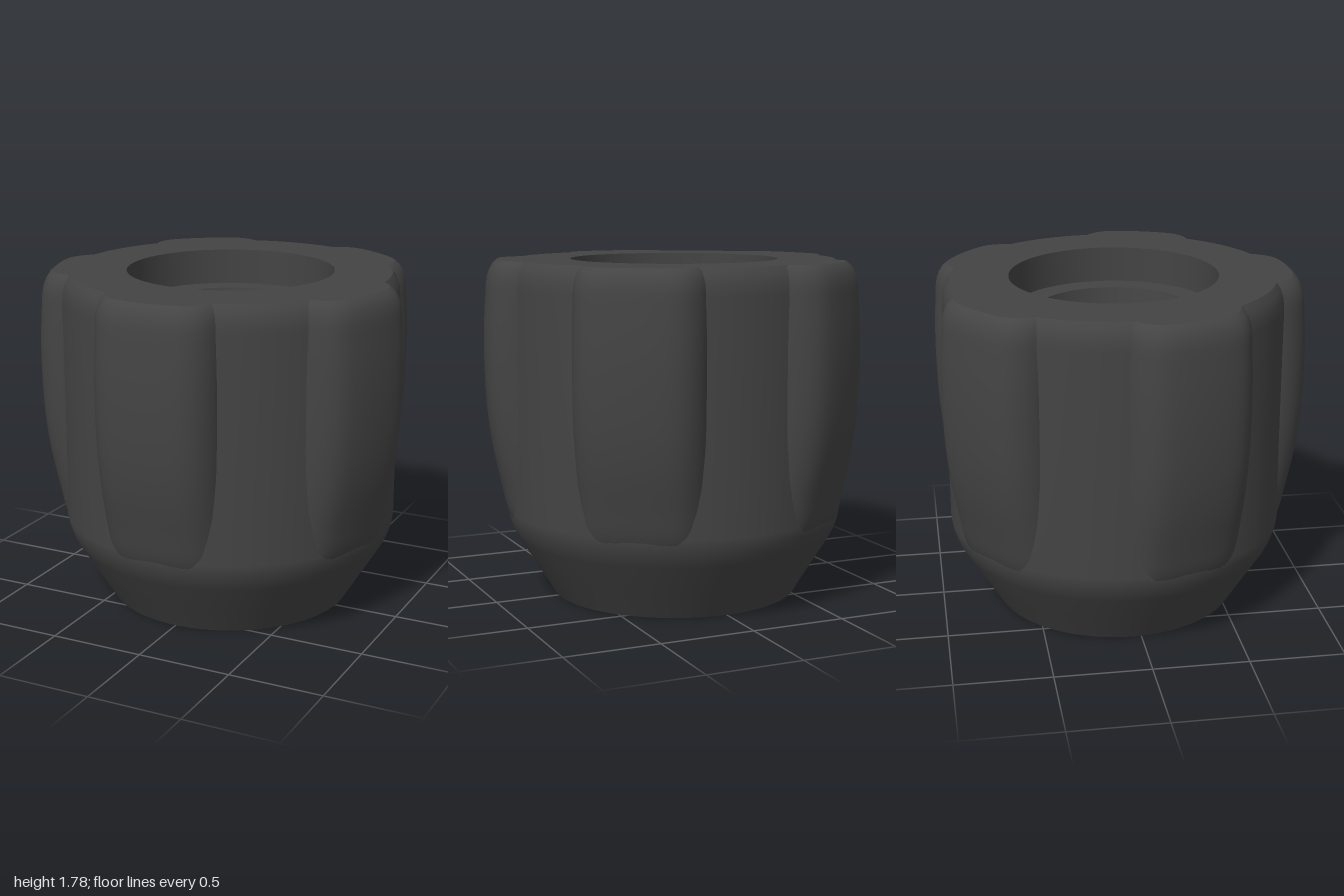
import * as THREE from 'three';

const LOBES = 5;
const TOP = 1.78;

export function createModel() {
  const model = new THREE.Group();
  model.name = 'knob';
  const plastic = new THREE.MeshStandardMaterial({ color: 0x444444 });
  plastic.name = 'dark grey plastic';

  const knob = new THREE.Group();
  knob.name = 'knobBody';
  knob.position.z = -0.045;
  model.add(knob);

  const add = (name, geometry) => {
    const mesh = new THREE.Mesh(geometry, plastic);
    mesh.name = name;
    knob.add(mesh);
    return mesh;
  };
  // Each turned surface is its own lathe so the edges between them stay sharp
  const turn = (name, profile) =>
    add(name, new THREE.LatheGeometry(profile.map(([r, y]) => new THREE.Vector2(r, y)), 96));

  turn('outerWall', [
    [0.655, 0], [0.75, 0.157], [0.845, 0.31], [0.87, 0.36], [0.887, 0.41], [0.895, 0.46],
    [0.895, 1.1], [0.895, 1.64], [0.889, 1.7], [0.875, 1.745], [0.85, TOP],
  ]);
  turn('topFace', [[0.85, TOP], [0.547, TOP]]);
  turn('counterboreWall', [[0.547, TOP], [0.547, 1.59]]);
  turn('counterboreFloor', [[0.547, 1.59], [0.415, 1.59]]);
  turn('upperBore', [[0.415, 1.59], [0.305, 0.8]]);
  turn('lowerBore', [[0.305, 0.8], [0.375, 0]]);
  turn('bottomFace', [[0.375, 0], [0.655, 0]]);

  // Grip lobes: one rounded section swept up a bulging profile
  const lobe = lobeGeometry();
  const cap = lobeCap();
  for (let i = 0; i < LOBES; i++) {
    const angle = (i / LOBES) * Math.PI * 2;
    add('gripLobe', lobe).rotation.y = angle;
    add('gripLobeTop', cap).rotation.y = angle;
  }
  return model;
}

// Cross-section of a lobe, left to right, for a half width and an outer radius
function section(w, r) {
  const half = [
    [0.15, 0.001], [0.32, 0.004], [0.48, 0.011], [0.6, 0.02], [0.7, 0.034], [0.79, 0.054],
    [0.87, 0.082], [0.935, 0.115], [0.98, 0.155], [1, 0.195], [0.985, 0.24], [0.96, 0.29],
  ];
  const right = half.map(([x, d]) => [x * w, r - d]);
  const left = right.map(([x, z]) => [-x, z]).reverse();
  return [...left, [0, r], ...right];
}

// Smooth bulge, then a rounded shoulder at the top: [y, half width, radius]
function lobeLevels() {
  const bulge = new THREE.CatmullRomCurve3([
    [0.36, 0.325, 0.85], [0.45, 0.328, 0.895], [0.6, 0.33, 0.93], [0.8, 0.332, 0.972],
    [1, 0.335, 0.997], [1.25, 0.335, 1.008], [1.45, 0.335, 1.005], [1.66, 0.332, 0.991],
  ].map(([y, w, r]) => new THREE.Vector3(w, y, r)));
  const levels = bulge.getPoints(28).map((p) => [p.y, p.x, p.z]);
  levels.push([1.7, 0.329, 0.984], [1.735, 0.322, 0.971], [1.762, 0.313, 0.954], [TOP, 0.3, 0.932]);
  return levels;
}

function lobeGeometry() {
  const positions = [];
  const index = [];
  const levels = lobeLevels();
  const n = section(1, 1).length;
  levels.forEach(([y, w, r], j) => {
    section(w, r).forEach(([x, z], i) => {
      positions.push(x, y, z);
      if (j === 0 || i === 0) return;
      const d = j * n + i;
      index.push(d - n - 1, d - n, d, d - n - 1, d, d - 1);
    });
  });
  const geometry = new THREE.BufferGeometry();
  geometry.setAttribute('position', new THREE.Float32BufferAttribute(positions, 3));
  geometry.setIndex(index);
  geometry.computeVertexNormals();
  return geometry;
}

// Flat end of a lobe, level with the top face
function lobeCap() {
  const [, w, r] = lobeLevels().at(-1);
  const shape = new THREE.Shape(section(w, r).map(([x, z]) => new THREE.Vector2(x, -z)));
  return new THREE.ShapeGeometry(shape).rotateX(-Math.PI / 2).translate(0, TOP, 0);
}
